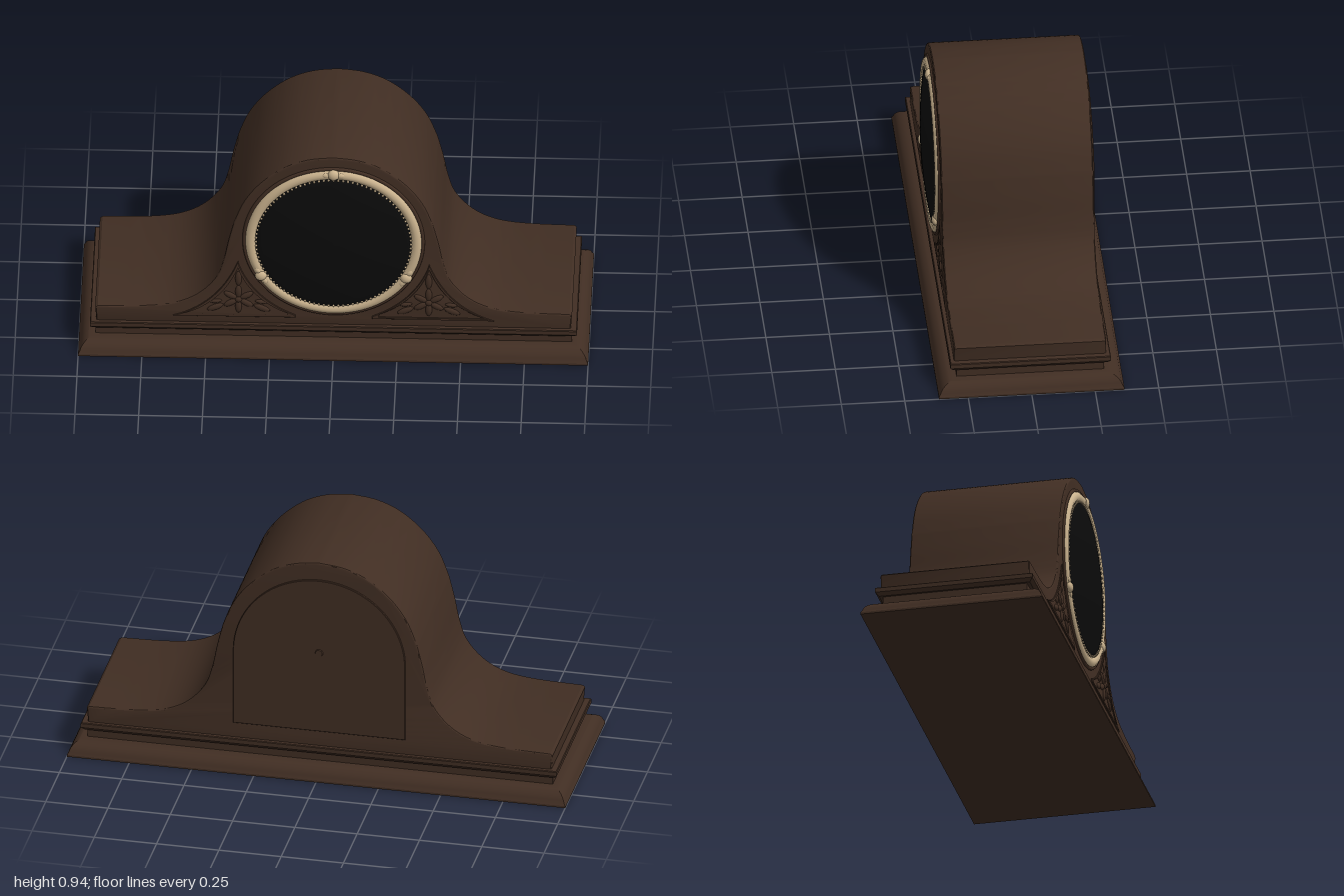
import * as THREE from 'three';
import { toCreasedNormals } from 'three/addons/utils/BufferGeometryUtils.js';

const DIAL_Y = 0.535;

// Rectangular moulding: rings of [halfWidth, halfDepth, y] joined upwards and capped.
function mouldingGeometry(levels) {
  const pos = [];
  const ring = ([x, z, y]) => [[x, y, z], [x, y, -z], [-x, y, -z], [-x, y, z]];
  const quad = (a, b, c, d) => pos.push(...a, ...b, ...c, ...a, ...c, ...d);
  for (let i = 0; i < levels.length - 1; i++) {
    const lo = ring(levels[i]), hi = ring(levels[i + 1]);
    for (let s = 0; s < 4; s++) {
      const n = (s + 1) % 4;
      quad(lo[s], lo[n], hi[n], hi[s]);
    }
  }
  const bottom = ring(levels[0]), top = ring(levels[levels.length - 1]);
  quad(bottom[3], bottom[2], bottom[1], bottom[0]);
  quad(top[0], top[1], top[2], top[3]);
  const geo = new THREE.BufferGeometry();
  geo.setAttribute('position', new THREE.Float32BufferAttribute(pos, 3));
  return toCreasedNormals(geo, 0.5);
}

// Extrusion with a small inward bevel, filling z = 0 to depth.
function plate(shape, depth, bevel, steps = 1) {
  const geo = new THREE.ExtrudeGeometry(shape, {
    depth: depth - 2 * bevel, curveSegments: 40, bevelEnabled: true,
    bevelSize: bevel, bevelThickness: bevel, bevelOffset: -bevel, bevelSegments: steps,
  });
  geo.translate(0, 0, bevel);
  return toCreasedNormals(geo, 0.5);
}

// Hump outline with sweeping shoulders.
function bodyShape() {
  const shoulder = new THREE.SplineCurve([
    [0.925, 0.197], [0.74, 0.203], [0.62, 0.222], [0.53, 0.268],
    [0.462, 0.345], [0.432, 0.43], [0.412, 0.53], [0.39, 0.62],
  ].map(([x, y]) => new THREE.Vector2(x, y))).getPoints(36);
  const crown = new THREE.SplineCurve([
    [0.39, 0.62], [0.35, 0.72], [0.285, 0.81], [0.195, 0.885], [0.1, 0.925], [0, 0.938],
  ].map(([x, y]) => new THREE.Vector2(x, y))).getPoints(24);
  const half = [new THREE.Vector2(0.93, 0.125), new THREE.Vector2(0.935, 0.19), ...shoulder, ...crown.slice(1)];
  const mirror = half.slice(0, -1).reverse().map((p) => new THREE.Vector2(-p.x, p.y));
  return new THREE.Shape([...half, ...mirror]);
}

// Three-cornered border between dial and shoulder.
function spandrelShape(side) {
  const s = new THREE.Shape();
  s.moveTo(0.15, 0.162);
  s.lineTo(0.63, 0.162);
  s.quadraticCurveTo(0.45, 0.22, 0.375, 0.43);
  s.absarc(0, DIAL_Y, 0.39, -0.273, -1.176, true);
  const pts = s.getPoints(14).map((p) => new THREE.Vector2(p.x * side, p.y));
  const shape = new THREE.Shape(pts);
  const c = new THREE.Vector2(0.37 * side, 0.24);
  shape.holes.push(new THREE.Path(pts.map((p) => p.clone().sub(c).multiplyScalar(0.87).add(c))));
  return shape;
}

export function createModel() {
  const wood = new THREE.MeshStandardMaterial({ color: 0x412e23 });
  wood.name = 'dark walnut';
  const ivory = new THREE.MeshStandardMaterial({ color: 0xcdb590 });
  ivory.name = 'ivory trim';
  const black = new THREE.MeshStandardMaterial({ color: 0x0b0b0b });
  black.name = 'black glass';

  const model = new THREE.Group();
  model.name = 'mantelClock';
  const add = (name, geo, mat, x = 0, y = 0, z = 0, parent = model) => {
    const mesh = new THREE.Mesh(geo, mat);
    mesh.name = name;
    mesh.position.set(x, y, z);
    parent.add(mesh);
    return mesh;
  };

  // Stepped plinth: rounded foot, waist and projecting band
  const levels = [[1, 0.365, 0], [1, 0.365, 0.008]];
  for (let i = 1; i <= 8; i++) {
    const a = (i / 8) * Math.PI / 2;
    levels.push([0.94 + 0.055 * Math.cos(a), 0.293 + 0.067 * Math.cos(a), 0.008 + 0.052 * Math.sin(a)]);
  }
  levels.push([0.934, 0.29, 0.06], [0.934, 0.29, 0.096], [0.943, 0.303, 0.096],
    [0.955, 0.316, 0.11], [0.955, 0.316, 0.127], [0.952, 0.313, 0.13]);
  add('plinth', mouldingGeometry(levels), wood);

  // Humped case
  add('case', plate(bodyShape(), 0.6, 0.008, 3), wood, 0, 0, -0.3);

  // Dial: wooden surround, ivory bezel with beading, domed glass
  const dial = new THREE.Group();
  dial.name = 'dial';
  dial.position.set(0, DIAL_Y, 0.3);
  model.add(dial);
  add('dialSurround', new THREE.TorusGeometry(0.35, 0.008, 8, 96), wood, 0, 0, 0, dial);
  const bezel = add('bezel', new THREE.TorusGeometry(0.325, 0.022, 12, 96), ivory, 0, 0, 0, dial);
  bezel.scale.z = 0.85;
  const bead = new THREE.SphereGeometry(0.005, 6, 4);
  for (let i = 0; i < 100; i++) {
    const a = (i / 100) * Math.PI * 2;
    add('bead', bead, ivory, 0.304 * Math.cos(a), 0.304 * Math.sin(a), 0.014, dial);
  }
  const dome = [new THREE.Vector2(0.307, 0)];
  for (let i = 0; i <= 12; i++) {
    const r = 0.307 * (1 - i / 12);
    dome.push(new THREE.Vector2(r, 0.012 + 0.028 * (1 - (r / 0.307) ** 2)));
  }
  add('glass', new THREE.LatheGeometry(dome, 80), black, 0, 0, 0, dial).rotation.x = Math.PI / 2;

  // Three bezel bosses, each with a pair of small side leaves
  for (const deg of [90, 210, 330]) {
    const boss = new THREE.Group();
    boss.name = 'bezelBoss';
    boss.rotation.z = THREE.MathUtils.degToRad(deg - 90);
    dial.add(boss);
    add('bossKnob', new THREE.SphereGeometry(0.023, 16, 12), ivory, 0, 0.329, 0.012, boss).scale.z = 0.7;
    for (const s of [-1, 1]) {
      const leaf = add('bossLeaf', new THREE.SphereGeometry(0.014, 10, 8), ivory, s * 0.028, 0.327, 0.013, boss);
      leaf.scale.set(1.3, 0.8, 0.6);
    }
  }

  // Carved spandrels with a flower and trailing leaves
  const petal = new THREE.SphereGeometry(1, 12, 8);
  for (const side of [-1, 1]) {
    const carving = new THREE.Group();
    carving.name = side > 0 ? 'leftSpandrel' : 'rightSpandrel';
    carving.position.z = 0.299;
    model.add(carving);
    add('spandrelBorder', plate(spandrelShape(side), 0.006, 0.002), wood, 0, 0, 0, carving);
    const cx = 0.373 * side, cy = 0.245;
    const leaf = (name, angle, dist, length, width) => {
      const m = add(name, petal, wood, cx + dist * Math.cos(angle), cy + dist * Math.sin(angle), 0.001, carving);
      m.scale.set(length, width, 0.008);
      m.rotation.z = angle;
    };
    for (let i = 0; i < 6; i++) leaf('petal', Math.PI / 2 + i * Math.PI / 3, 0.036, 0.03, 0.013);
    leaf('topLeaf', Math.PI / 2, 0.1, 0.035, 0.013);
    for (const s of [-1, 1]) {
      const base = s > 0 ? -0.42 : Math.PI + 0.42;
      leaf('sideLeaf', base, 0.1, 0.035, 0.013);
      leaf('smallLeaf', base + s * 0.3, 0.09, 0.025, 0.009);
    }
    add('flowerCentre', petal, wood, cx, cy, 0.003, carving).scale.set(0.014, 0.014, 0.009);
  }

  // Arched back door with a small knob
  const door = new THREE.Shape();
  door.moveTo(-0.345, 0.197);
  door.lineTo(0.345, 0.197);
  door.lineTo(0.345, 0.52);
  door.absarc(0, 0.52, 0.345, 0, Math.PI, false);
  door.closePath();
  add('backDoor', plate(door, 0.015, 0.002), wood, 0, 0, -0.309);
  const knob = new THREE.CylinderGeometry(0.014, 0.018, 0.01, 16);
  add('doorKnob', knob, wood, 0, 0.545, -0.309).rotation.x = -Math.PI / 2;

  return model;
}
